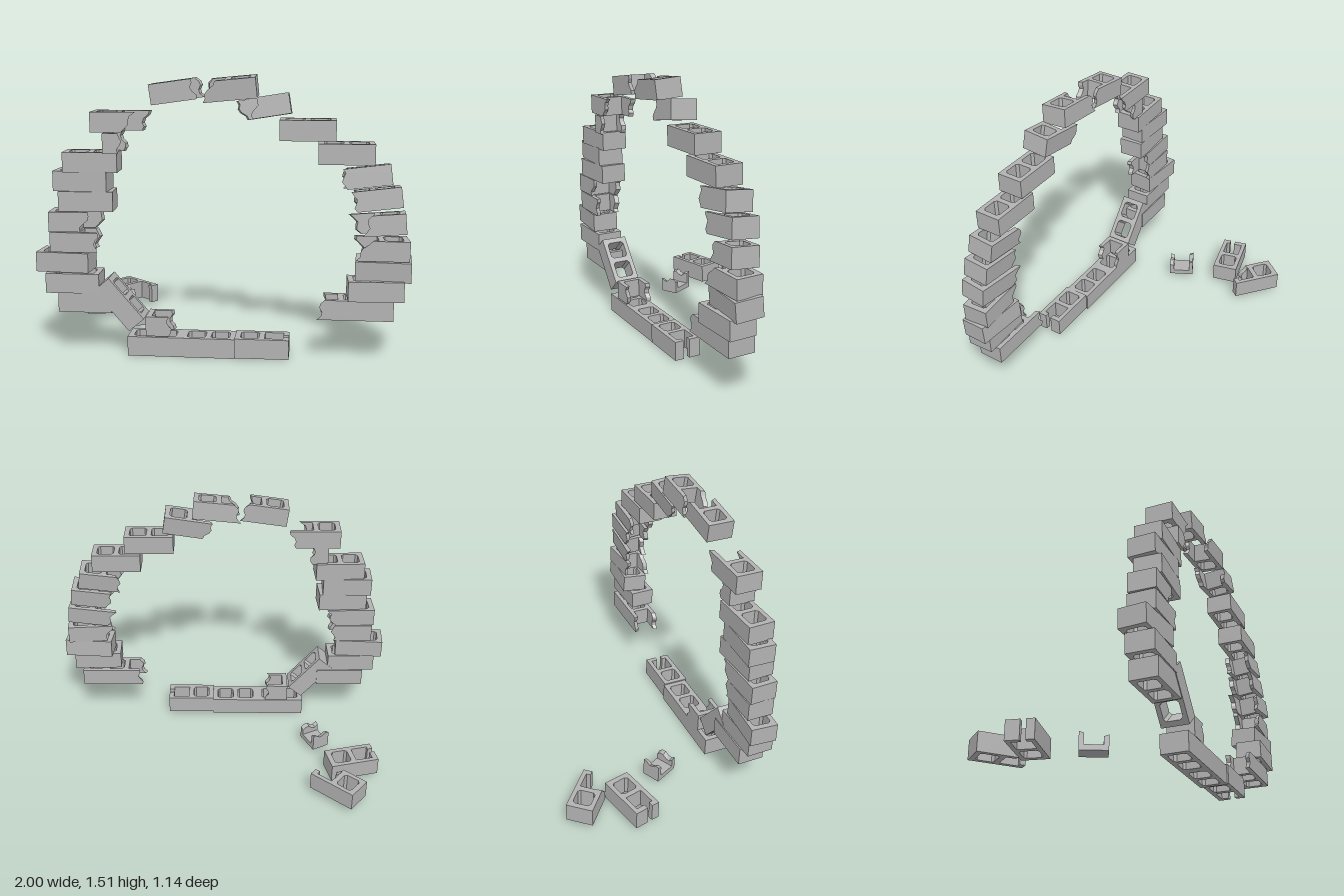
import * as THREE from 'three';

const H = 0.107, D = 0.15, WALL = 0.025, L = 0.29;
const rad = THREE.MathUtils.degToRad;

// Rectangular cell with clipped corners, running through the block
function cellHole(x0, x1) {
  const y = D / 2 - WALL, c = 0.013;
  return new THREE.Path([
    [x0 + c, -y], [x0, -y + c], [x0, y - c], [x0 + c, y],
    [x1 - c, y], [x1, y - c], [x1, -y + c], [x1 - c, -y],
  ].map(p => new THREE.Vector2(...p)));
}

// Hollow block, intact at -x. 'cells' whole cells, then (if broken) two wall stubs.
// front / back: [x at top, x at bottom] of each stub; hooks: inward return of each stub.
function blockGeometry({ cells = 2, front, back, hookFront = 0, hookBack = 0, seed = 0 }) {
  const d = D / 2, inner = d - WALL, web = -0.115 + 0.13 * cells;
  const broken = !!(front || back), end = web + 0.13, hx = end - 0.03;
  const pts = [[-L / 2, -d]];
  if (broken) {
    pts.push([end, -d]);
    if (hookFront) pts.push([end, -inner + hookFront], [hx, -inner + hookFront], [hx, -inner]);
    else pts.push([end, -inner]);
    pts.push([web, -inner], [web, inner]);
    if (hookBack) pts.push([hx, inner], [hx, inner - hookBack], [end, inner - hookBack]);
    else pts.push([end, inner]);
    pts.push([end, d]);
  } else pts.push([web, -d], [web, d]);
  pts.push([-L / 2, d]);
  const shape = new THREE.Shape(pts.map(p => new THREE.Vector2(...p)));
  for (let i = 0; i < cells; i++) shape.holes.push(cellHole(-0.115 + 0.13 * i, -0.015 + 0.13 * i));
  const geo = new THREE.ExtrudeGeometry(shape, { depth: H, steps: broken ? 5 : 1, bevelEnabled: false });

  // Ragged break: slide the stub ends by height
  if (broken) {
    const p = geo.attributes.position;
    for (let i = 0; i < p.count; i++) {
      const x = p.getX(i), y = p.getY(i), t = p.getZ(i) / H;
      const isFront = y < 0;
      if (x < web + 0.001 || (isFront ? hookFront : hookBack)) continue;
      const [top, bottom] = isFront ? front : back;
      const jag = 0.012 * Math.sin(t * 8 + seed * 1.7 + (isFront ? 0 : 2));
      const lip = Math.abs(y) < d - 0.001 ? -0.01 : 0;
      p.setX(i, Math.max(web + 0.002, bottom + (top - bottom) * t + jag + lip));
    }
  }
  geo.translate(0, 0, -H / 2);
  geo.rotateX(-Math.PI / 2);
  geo.computeVertexNormals();
  return geo;
}

export function createModel() {
  const model = new THREE.Group();
  const concrete = new THREE.MeshStandardMaterial({ color: 0xb2b2b2 });
  concrete.name = 'concrete';
  let seed = 0;

  // o: tilt, roll, yaw in degrees; flip puts the broken end at -x (front/back stay as seen)
  function block(name, x, y, z, o = {}) {
    const spec = { ...o, seed: seed++ };
    if (o.flip) {
      [spec.front, spec.back] = [o.back, o.front];
      [spec.hookFront, spec.hookBack] = [o.hookBack, o.hookFront];
    }
    const geo = blockGeometry(spec);
    if (o.flip) geo.rotateY(Math.PI);
    const mesh = new THREE.Mesh(geo, concrete);
    mesh.name = name;
    mesh.position.set(x, y, z);
    mesh.rotation.set(rad(o.roll || 0), rad(o.yaw || 0), rad(o.tilt || 0), 'YXZ');
    model.add(mesh);
  }

  // Bottom row
  block('baseBlock', -0.365, 0.054, 0.458);
  block('baseBlock', -0.075, 0.054, 0.458);
  block('baseBrokenBlock', 0.215, 0.061, 0.466,
    { cells: 1, front: [0.145, 0.145], back: [0.145, 0.145], hookFront: 0.025, hookBack: 0.04 });
  block('baseFragment', -0.265, 0.166, 0.455, { cells: 0, front: [-0.025, -0.01], back: [-0.02, -0.01] });
  block('leaningBlock', -0.553, 0.284, 0.462, { tilt: -49.5 });

  // Right-hand column (-x), rising
  block('rightStackBlock', -0.74, 0.29, 0.458);
  block('rightStackBlock', -0.805, 0.397, 0.466, { yaw: 1 });
  block('rightStackBlock', -0.853, 0.51, 0.46, { yaw: -4 });
  block('rightStackBroken', -0.775, 0.622, 0.465, { cells: 1, front: [0.11, 0.1], back: [0.1, 0.09] });
  block('rightStackBroken', -0.78, 0.733, 0.465,
    { cells: 1, front: [0.08, 0.02], back: [0.145, 0.1], yaw: 2 });
  block('rightStackBlock', -0.723, 0.845, 0.468, { yaw: 3 });
  block('rightStackBlock', -0.748, 0.952, 0.46, { yaw: -2 });
  block('rightStackBlock', -0.695, 1.053, 0.465, { yaw: 2 });
  block('rightStackFragment', -0.475, 1.155, 0.475, { cells: 0, front: [-0.05, -0.06], back: [-0.06, -0.04] });
  block('rightStackBroken', -0.54, 1.265, 0.468,
    { cells: 1, front: [0.09, 0.02], back: [0.15, 0.11] });

  // Crown of the ring
  block('crownBroken', -0.225, 1.427, 0.462,
    { cells: 1, front: [0.07, 0.09], back: [0.1, 0.12], tilt: 8 });
  block('crownBroken', 0.037, 1.438, 0.462,
    { cells: 1, front: [0.07, 0.145], back: [0.1, 0.13], tilt: 5.5, roll: 4, flip: true });
  block('crownBroken', 0.21, 1.343, 0.468,
    { cells: 1, front: [0.01, 0.06], back: [0.145, 0.1], tilt: 9, roll: -5, flip: true });

  // Left-hand column (+x), descending
  block('leftStackBlock', 0.445, 1.23, 0.462);
  block('leftStackBlock', 0.645, 1.11, 0.46);
  block('leftStackBroken', 0.732, 0.986, 0.458,
    { cells: 1, front: [0.1, 0.1], back: [0.09, 0.1], tilt: 7, roll: -6, flip: true });
  block('leftStackBroken', 0.789, 0.87, 0.458,
    { cells: 1, front: [0.1, 0.09], back: [0.1, 0.08], tilt: 7, roll: -5, flip: true });
  block('leftStackBroken', 0.815, 0.74, 0.466,
    { cells: 1, front: [0.03, 0.07], back: [0.14, 0.1], tilt: 5, roll: -4, yaw: -3, flip: true });
  block('leftStackBroken', 0.832, 0.61, 0.466,
    { cells: 1, front: [0.06, 0.14], back: [0.13, 0.08], tilt: -1, yaw: 3, flip: true });
  block('leftStackBlock', 0.85, 0.502, 0.46, { roll: 4, yaw: -4 });
  block('leftStackBlock', 0.808, 0.397, 0.485, { yaw: 2 });
  block('leftStackLongBroken', 0.76, 0.286, 0.458,
    { cells: 2, front: [0.225, 0.245], back: [0.21, 0.23], flip: true });

  // Loose blocks behind the ring
  block('looseBlock', -0.765, 0.08, -0.203,
    { cells: 1, front: [0.145, 0.145], back: [0.145, 0.145], hookFront: 0.02, hookBack: 0.05, yaw: 13.5, flip: true });
  block('looseBrokenBlock', -0.667, 0.092, -0.42,
    { cells: 1, front: [0.03, 0.08], back: [0.145, 0.145], hookBack: 0.025, yaw: -40 });
  block('looseFragment', -0.567, 0.18, 0.055,
    { cells: 0, front: [-0.07, -0.06], back: [-0.05, -0.05], tilt: 90, yaw: 27 });

  return model;
}
